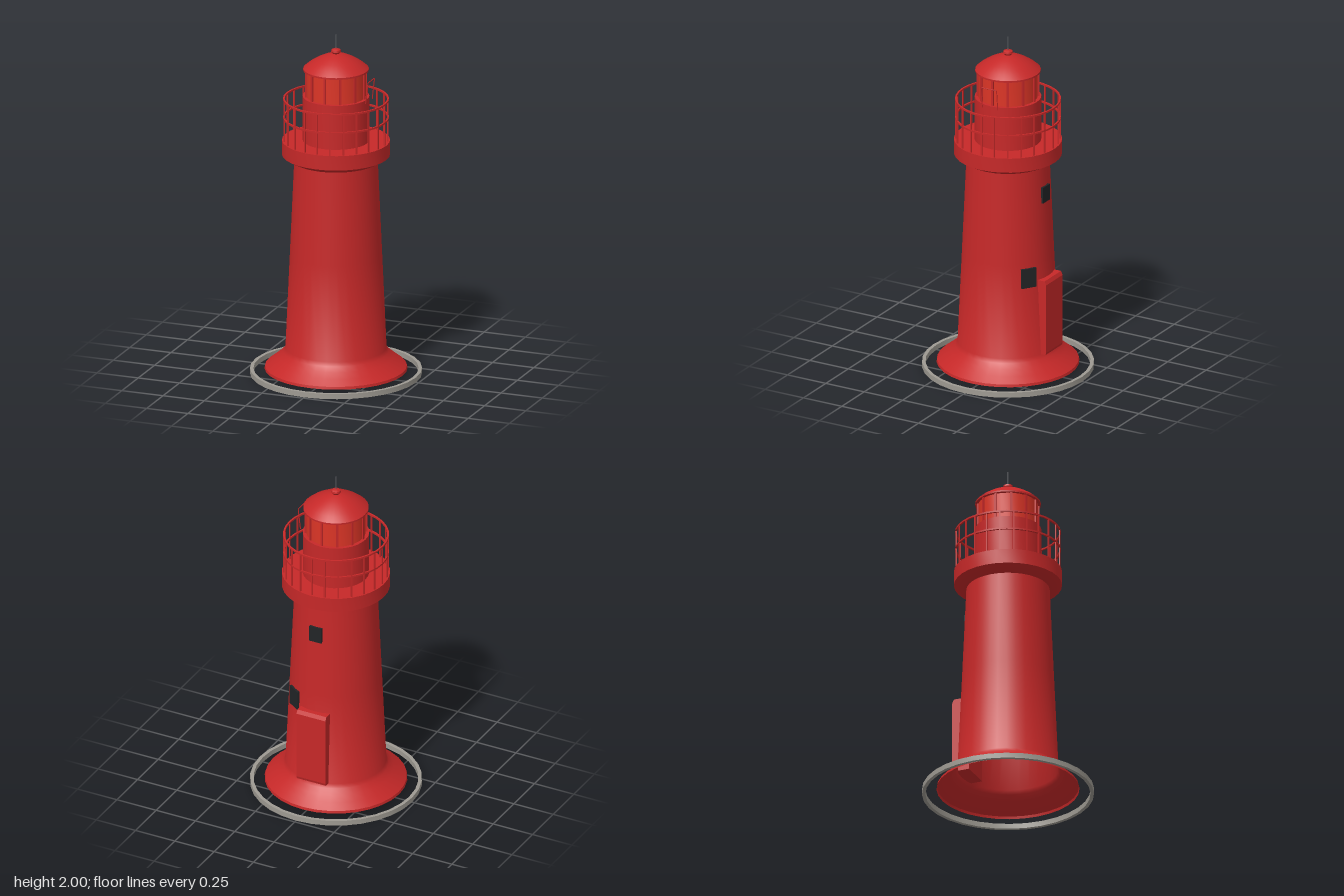
import * as THREE from 'three';
import { toCreasedNormals } from 'three/addons/utils/BufferGeometryUtils.js';

const SIDES = 32;
const mat = (name, color, side = THREE.FrontSide) => {
  const m = new THREE.MeshStandardMaterial({ color, side });
  m.name = name;
  return m;
};

export function createModel() {
  const red = mat('red paint', 0xc62828, THREE.DoubleSide);
  const glass = mat('lantern red', 0xdc3526);
  const stone = mat('grey stone', 0x9e9a92);
  const dark = mat('dark window', 0x222426);
  const metal = mat('grey metal', 0x5a5c60);

  const model = new THREE.Group();
  model.name = 'lighthouse';

  const add = (name, geometry, material, parent = model) => {
    const mesh = new THREE.Mesh(geometry, material);
    mesh.name = name;
    parent.add(mesh);
    return mesh;
  };
  // Turned part from [radius, height] pairs, listed bottom to top on the outside
  const turned = (name, profile, material) => {
    const pts = profile.map(([r, y]) => new THREE.Vector2(r, y));
    return add(name, toCreasedNormals(new THREE.LatheGeometry(pts, SIDES), 0.55), material);
  };
  // Ring of identical upright bars
  const barRing = (name, count, radius, y0, y1, thickness, material) => {
    const group = new THREE.Group();
    group.name = name;
    const geo = new THREE.BoxGeometry(thickness, y1 - y0, thickness);
    for (let i = 0; i < count; i++) {
      const a = (i / count) * Math.PI * 2;
      const bar = add('bar', geo, material, group);
      bar.position.set(Math.sin(a) * radius, (y0 + y1) / 2, Math.cos(a) * radius);
      bar.rotation.y = a;
    }
    model.add(group);
  };

  // Ground ring
  turned('groundRing', [[0.485, 0], [0.485, 0.03], [0.465, 0.03], [0.465, 0], [0.485, 0]], stone);

  // Flared foot and tapering tower, open underneath
  turned('tower', [
    [0.403, 0.03], [0.4, 0.045], [0.36, 0.076], [0.325, 0.105], [0.298, 0.132], [0.285, 0.155],
    [0.26, 0.71], [0.235, 1.27],
  ], red);

  // Gallery deck with sloping underside
  turned('gallery', [
    [0.235, 1.265], [0.25, 1.265], [0.305, 1.295], [0.305, 1.38], [0.18, 1.38],
  ], red);

  // Drum under the lantern
  turned('drum', [[0.188, 1.38], [0.188, 1.64], [0.16, 1.64]], red);

  // Lantern room with glazing bars
  turned('lanternGlass', [[0.168, 1.64], [0.168, 1.795]], glass);
  barRing('lanternBars', 12, 0.17, 1.64, 1.795, 0.013, red);

  // Domed roof, finial and rod
  turned('roof', [
    [0, 1.793], [0.185, 1.793], [0.185, 1.803], [0.155, 1.829], [0.115, 1.855],
    [0.07, 1.877], [0.03, 1.89], [0, 1.894],
  ], red);
  turned('finial', [
    [0.016, 1.885], [0.021, 1.893], [0.028, 1.902], [0.026, 1.913], [0.016, 1.919], [0, 1.92],
  ], red);
  add('rod', new THREE.CylinderGeometry(0.003, 0.003, 0.085, 8), metal).position.y = 1.9575;

  // Gallery railing
  barRing('railingPosts', 24, 0.294, 1.38, 1.622, 0.008, red);
  for (const y of [1.513, 1.621]) {
    turned('rail', [
      [0.299, y - 0.005], [0.299, y + 0.005], [0.289, y + 0.005], [0.289, y - 0.005], [0.299, y - 0.005],
    ], red);
  }

  // Leaning bracket beside the lantern
  const corners = [[0.2, 1.63, 0.05], [0.214, 1.755, 0.05], [0.214, 1.755, -0.05], [0.2, 1.63, -0.05]]
    .map((p) => new THREE.Vector3(...p));
  const bracket = new THREE.CurvePath();
  for (let i = 0; i < 3; i++) bracket.add(new THREE.LineCurve3(corners[i], corners[i + 1]));
  add('bracket', new THREE.TubeGeometry(bracket, 48, 0.003, 6), red);

  // Back door: a box whose outer top edge slopes down slightly
  const doorSide = new THREE.Shape([
    [0.2, 0.155], [0.298, 0.155], [0.303, 0.17], [0.303, 0.58], [0.292, 0.602], [0.2, 0.602],
  ].map(([x, y]) => new THREE.Vector2(x, y)));
  const door = add('door', new THREE.ExtrudeGeometry(doorSide, { depth: 0.184, bevelEnabled: false }), red);
  door.rotation.y = Math.PI / 2;
  door.position.x = -0.092;

  // Windows set into the back of the tower: [angle from the back, height, radius, width, tall]
  for (const [angle, y, r, w, h] of [[0.59, 0.628, 0.262, 0.09, 0.115], [0, 1.095, 0.241, 0.078, 0.095]]) {
    const win = add('window', new THREE.BoxGeometry(w, h, 0.02), dark);
    win.position.set(Math.sin(angle) * r, y, -Math.cos(angle) * r);
    win.rotation.y = -angle;
  }

  return model;
}
